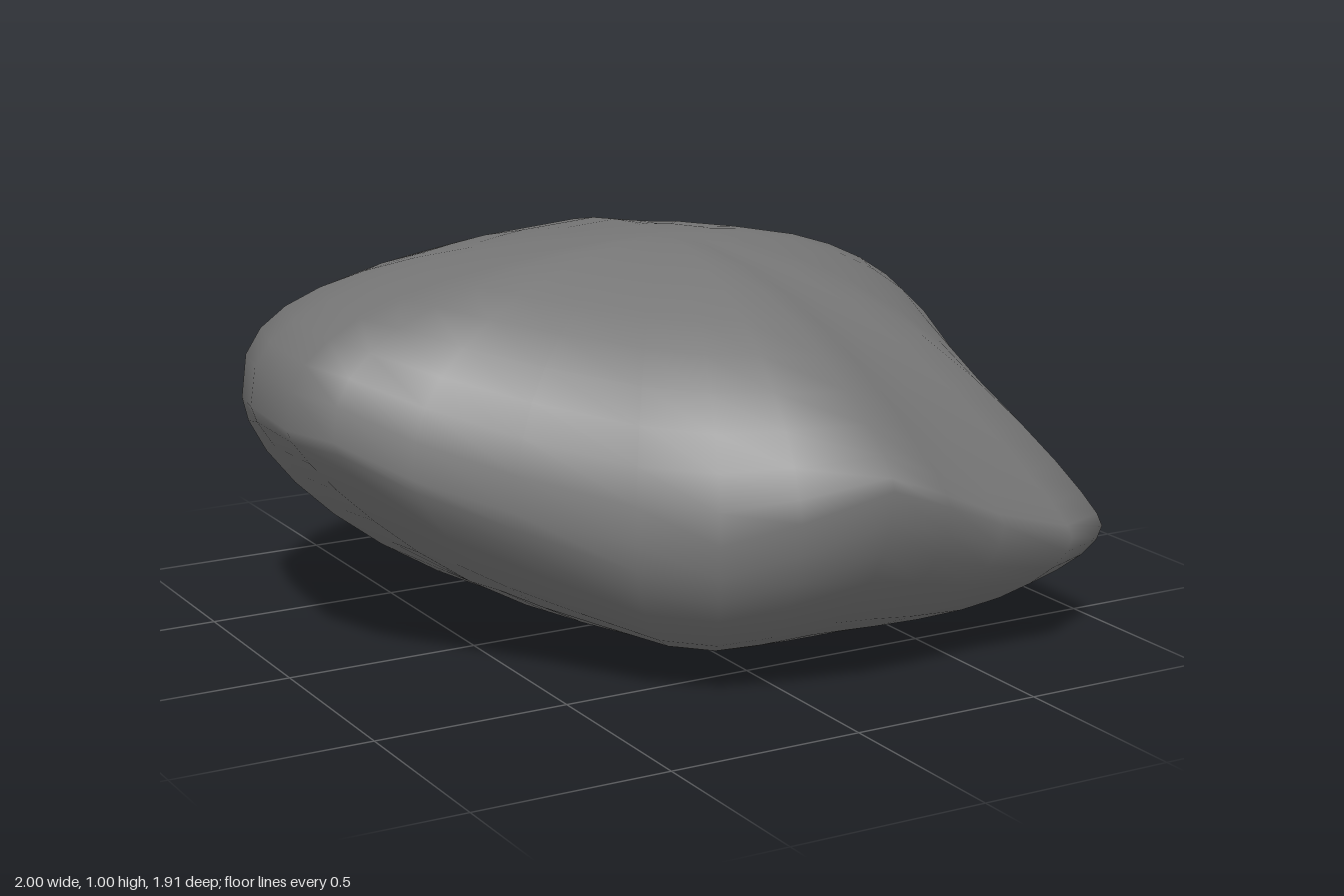
import * as THREE from 'three';

// Rim of the boulder, clockwise from above: x, z, rim height,
// upper profile exponent, lower profile exponent (small = full, large = scooped)
const RIM = [
  [1, -0.17, 0.54, 1.15, 1.2], [0.95, 0, 0.5, 1.1, 1.15], [0.91, 0.2, 0.42, 1.2, 1.05],
  [0.91, 0.5, 0.3, 1.6, 0.9], [0.9, 0.73, 0.3, 2.2, 1.2], [0.73, 0.83, 0.32, 2.3, 1.2],
  [0.5, 0.86, 0.39, 2.2, 1.1], [0.3, 0.92, 0.48, 2, 1.1], [0.12, 0.95, 0.55, 1.7, 1.05],
  [-0.08, 0.87, 0.48, 1.3, 0.95], [-0.25, 0.79, 0.43, 1.1, 0.9], [-0.4, 0.66, 0.42, 1, 1],
  [-0.6, 0.44, 0.47, 0.95, 1.4], [-0.79, 0.29, 0.54, 0.85, 1.75], [-0.95, 0.19, 0.63, 0.75, 2],
  [-1, 0.03, 0.63, 0.7, 2], [-0.97, -0.27, 0.62, 0.7, 1.7], [-0.91, -0.48, 0.59, 0.65, 1.3],
  [-0.77, -0.63, 0.54, 0.62, 0.95], [-0.6, -0.74, 0.53, 0.62, 0.75], [-0.4, -0.83, 0.55, 0.63, 0.85],
  [0.12, -0.96, 0.61, 0.72, 1], [0.3, -0.945, 0.54, 1, 1], [0.5, -0.95, 0.47, 1.25, 1],
  [0.68, -0.88, 0.41, 1.15, 0.9], [0.76, -0.7, 0.45, 1.15, 0.95], [0.93, -0.36, 0.52, 1.15, 1.1],
];
const TOP = [0.05, 1.005, 0];
const BASE = [0.1, 0, 0.15];
const STEPS = 10; // rings from each pole to the rim
const ROUNDING = 0.2; // share of plain ellipse that softens the rim

// One ring of points, a quarter-turn profile between a pole and the rim
function addRing(positions, pole, phi, exponentIndex) {
  const s = Math.sin(phi);
  const c = Math.max(0, Math.cos(phi));
  for (const point of RIM) {
    const [x, z, h] = point;
    const rise = THREE.MathUtils.lerp(Math.pow(c, point[exponentIndex]), c, ROUNDING);
    positions.push(
      pole[0] + (x - pole[0]) * s,
      h + (pole[1] - h) * rise,
      pole[2] + (z - pole[2]) * s,
    );
  }
}

function buildBoulder() {
  const n = RIM.length;
  const positions = [...TOP];
  const index = [];
  for (let i = 1; i <= STEPS; i++) addRing(positions, TOP, (i / STEPS) * Math.PI / 2, 3);
  for (let i = STEPS - 1; i >= 1; i--) addRing(positions, BASE, (i / STEPS) * Math.PI / 2, 4);
  const last = positions.length / 3;
  positions.push(...BASE);

  const rings = 2 * STEPS - 1;
  for (let j = 0; j < n; j++) {
    const k = (j + 1) % n;
    index.push(0, 1 + k, 1 + j); // top cap
    for (let i = 0; i < rings - 1; i++) {
      const a = 1 + i * n + j;
      const b = 1 + i * n + k;
      index.push(a, b, a + n, b, b + n, a + n);
    }
    const r = 1 + (rings - 1) * n;
    index.push(r + j, r + k, last); // bottom cap
  }

  const geometry = new THREE.BufferGeometry();
  geometry.setAttribute('position', new THREE.Float32BufferAttribute(positions, 3));
  geometry.setIndex(index);
  geometry.computeVertexNormals();
  return geometry;
}

export function createModel() {
  const stone = new THREE.MeshStandardMaterial({ color: 0x767676 });
  stone.name = 'grey stone';
  const boulder = new THREE.Mesh(buildBoulder(), stone);
  boulder.name = 'boulder';
  const group = new THREE.Group();
  group.name = 'rock';
  group.add(boulder);
  return group;
}
